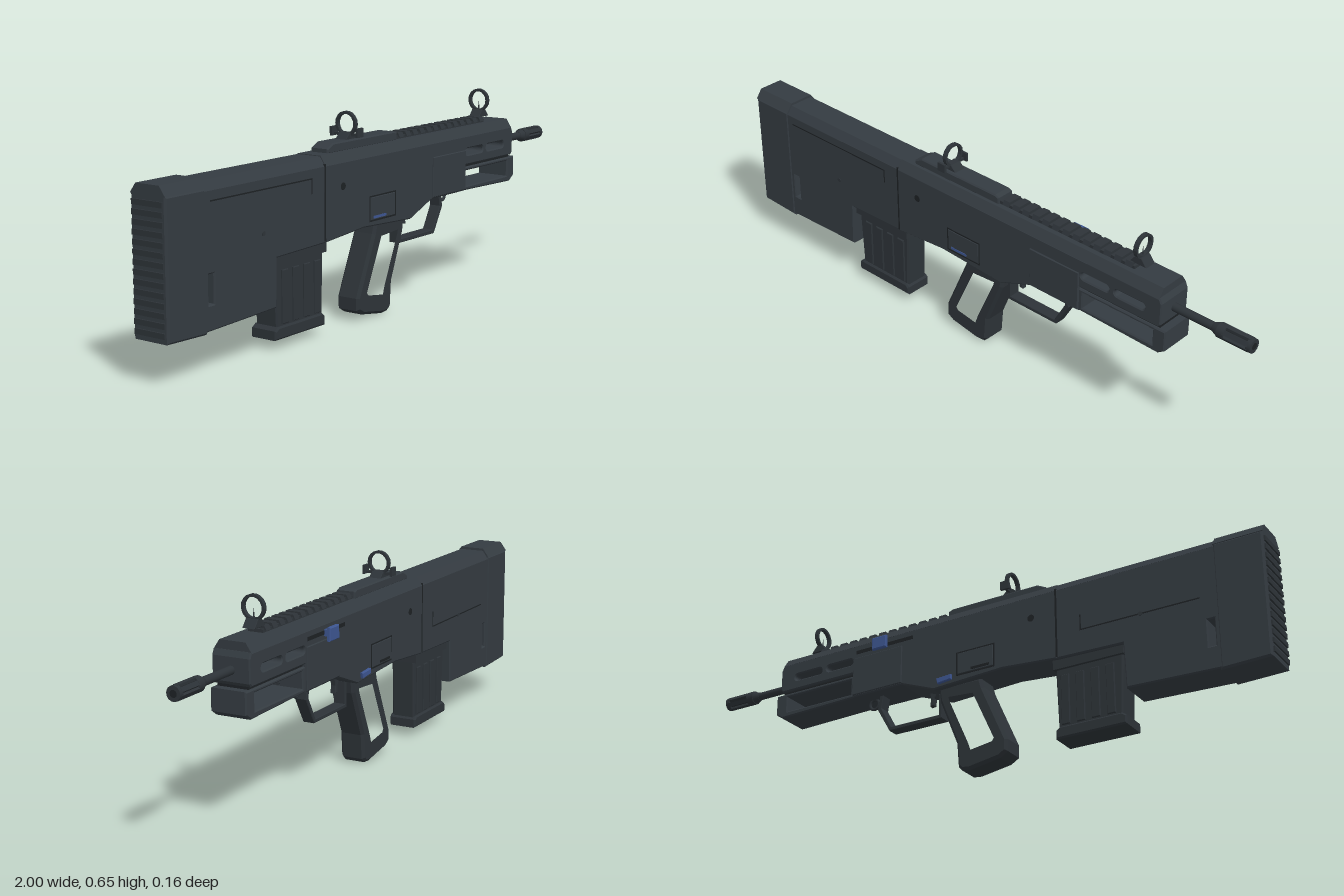
import * as THREE from 'three';

const mat = (name, color) => { const m = new THREE.MeshStandardMaterial({ color }); m.name = name; return m; };

export function createModel() {
  const body = mat('gunmetal', 0x343b41);
  const dark = mat('dark polymer', 0x2d3338);
  const black = mat('groove black', 0x1d2124);
  const blue = mat('blue control', 0x3d5590);

  const root = new THREE.Group();
  root.name = 'rifle';
  root.position.z = 0.0135;

  const add = (name, geo, material, x = 0, y = 0, z = 0) => {
    const m = new THREE.Mesh(geo, material);
    m.name = name;
    m.position.set(x, y, z);
    root.add(m);
    return m;
  };
  // Box given by its x and y limits, centre z and depth
  const box = (name, x0, x1, y0, y1, depth, material, z = 0) =>
    add(name, new THREE.BoxGeometry(x1 - x0, y1 - y0, depth), material, (x0 + x1) / 2, (y0 + y1) / 2, z);
  // Side outline extruded across the width, centred on z, with a chamfered edge
  const vec = pts => pts.map(p => new THREE.Vector2(p[0], p[1]));
  const slab = (name, pts, depth, material, b = 0.004, holes = [], z = 0) => {
    const s = new THREE.Shape(vec(pts));
    holes.forEach(h => s.holes.push(h instanceof THREE.Path ? h : new THREE.Path(vec(h))));
    const g = new THREE.ExtrudeGeometry(s, {
      depth: depth - 2 * b, bevelEnabled: b > 0, bevelSize: b, bevelThickness: b,
      bevelOffset: -b, bevelSegments: 1, curveSegments: 6,
    });
    g.translate(0, 0, -(depth - 2 * b) / 2);
    return add(name, g, material, 0, 0, z);
  };
  const rect = (x0, x1, y0, y1) => [[x0, y0], [x1, y0], [x1, y1], [x0, y1]];
  // Cross-section [z, y] extruded along x
  const prism = (name, pts, x0, x1, material) => {
    const g = new THREE.ExtrudeGeometry(new THREE.Shape(vec(pts.map(([z, y]) => [-z, y]))), { depth: x1 - x0, bevelEnabled: false });
    g.rotateY(Math.PI / 2);
    return add(name, g, material, x0, 0, 0);
  };
  const roof = (name, x0, x1, w, y0, y1, top, material) =>
    prism(name, [[w, y0], [top, y1], [-top, y1], [-w, y0]], x0, x1, material);
  const slot = (x0, x1, y, r) => {
    const p = new THREE.Path();
    p.absarc(x1 - r, y, r, -Math.PI / 2, Math.PI / 2);
    p.absarc(x0 + r, y, r, Math.PI / 2, Math.PI * 1.5);
    return p;
  };
  // Cylinder along x
  const rod = (name, x0, x1, r0, r1, y, material, sides = 16) => {
    const g = new THREE.CylinderGeometry(r1, r0, x1 - x0, sides);
    g.rotateZ(-Math.PI / 2);
    return add(name, g, material, (x0 + x1) / 2, y, 0);
  };

  // Butt pad with ribbed rear face
  slab('buttPad', [[-0.995, 0.125], [-0.84, 0.12], [-0.84, 0.522], [-0.995, 0.522]], 0.127, body, 0.006);
  roof('buttPadTop', -0.995, -0.84, 0.0635, 0.52, 0.549, 0.042, body);
  for (let i = 0; i < 14; i++) box('buttRib', -1, -0.99, 0.14 + i * 0.027, 0.156 + i * 0.027, 0.11, dark);

  // Rear stock with sling slot
  slab('stock', [[-0.86, 0.125], [-0.545, 0.135], [-0.54, 0.28], [-0.318, 0.285], [-0.318, 0.517], [-0.86, 0.517]],
    0.121, body, 0.004, [rect(-0.83, -0.808, 0.2, 0.285)]);
  roof('stockTop', -0.86, -0.32, 0.0605, 0.514, 0.541, 0.042, body);

  // Receiver and handguard
  slab('receiver', [[-0.322, 0.285], [-0.13, 0.3], [0.12, 0.288], [0.24, 0.335], [0.43, 0.335], [0.43, 0.42],
    [0.72, 0.42], [0.728, 0.43], [0.728, 0.5], [0.72, 0.517], [-0.322, 0.517]], 0.123, body, 0.004,
  [slot(0.435, 0.54, 0.463, 0.011), slot(0.56, 0.67, 0.463, 0.011)]);
  roof('receiverTop', -0.318, 0.718, 0.0615, 0.514, 0.543, 0.042, body);
  box('receiverSeam', -0.323, -0.317, 0.29, 0.52, 0.1236, black);
  box('handguardGroove', 0.43, 0.72, 0.405, 0.425, 0.1, black);
  slab('lowerHandguard', [[0.42, 0.335], [0.72, 0.328], [0.745, 0.345], [0.745, 0.412], [0.42, 0.412]], 0.116, body, 0.004,
    [rect(0.442, 0.7, 0.348, 0.4)]);
  rod('guardPin', 0.482, 0.49, 0.006, 0.006, 0.37, dark, 8);

  // Details on both sides
  for (const s of [1, -1]) {
    slab('takedownCover', rect(0.24, 0.43, 0.34, 0.47), 0.008, body, 0.002, [], s * 0.0615);
    slab('controlRecess', rect(-0.103, 0.035, 0.313, 0.393), 0.004, black, 0, [], s * 0.0605);
    slab('controlPanel', rect(-0.099, 0.031, 0.317, 0.389), 0.006, body, 0.002, [], s * 0.061);
    box('controlStrip', -0.085, -0.02, 0.322, 0.33, 0.004, s > 0 ? blue : black, s * 0.0635);
    slab('sidePort', slot(-0.245, -0.222, 0.443, 0.0114).getPoints(5).map(p => [p.x, -0.443 + p.y + 0.443]), 0.004, black, 0, [], s * 0.0605);
    const pin = add('bodyPin', new THREE.CylinderGeometry(0.007, 0.007, 0.004, 10), dark, -0.6, 0.36, s * 0.0605);
    pin.rotation.x = Math.PI / 2;
  }
  // Panel lines on the stock
  box('panelLine', -0.82, -0.38, 0.483, 0.487, 0.002, black, 0.0602);
  box('panelLine', -0.384, -0.38, 0.44, 0.487, 0.002, black, 0.0602);
  box('portLine', -0.79, -0.4, 0.358, 0.362, 0.002, black, -0.0602);
  box('portLine', -0.404, -0.4, 0.362, 0.41, 0.002, black, -0.0602);

  // Charging knob and selector on the rear side
  box('chargingSlot', 0.2, 0.42, 0.485, 0.497, 0.004, black, -0.0605);
  box('chargingStem', 0.3, 0.325, 0.48, 0.5, 0.03, blue, -0.069);
  slab('chargingKnob', rect(0.285, 0.34, 0.469, 0.511), 0.014, blue, 0.003, [], -0.0845);
  slab('selector', [[0.05, 0.305], [0.1, 0.3], [0.105, 0.318], [0.05, 0.322]], 0.012, blue, 0.002, [], -0.065);

  // Barrel and muzzle device
  rod('barrel', 0.7, 0.9, 0.013, 0.013, 0.463, dark);
  rod('muzzleCollar', 0.865, 0.89, 0.014, 0.023, 0.463, dark);
  rod('muzzleCore', 0.885, 0.999, 0.016, 0.016, 0.463, black);
  rod('muzzleRear', 0.885, 0.91, 0.023, 0.023, 0.463, dark);
  rod('muzzleTip', 0.985, 1, 0.022, 0.022, 0.463, dark);
  rod('bore', 0.9985, 1.0005, 0.011, 0.011, 0.463, black);
  for (let i = 0; i < 6; i++) {
    const a = (i + 0.5) * Math.PI / 3;
    const bar = box('muzzleBar', 0.905, 0.99, 0.456, 0.47, 0.013, dark);
    bar.position.set(0.9475, 0.463 + Math.sin(a) * 0.0155, Math.cos(a) * 0.0155);
    bar.rotation.x = -a;
  }

  // Top rail
  box('railBase', -0.25, 0.6, 0.538, 0.553, 0.05, dark);
  slab('railCover', [[-0.27, 0.54], [0.085, 0.54], [0.085, 0.564], [0.07, 0.57], [-0.24, 0.57], [-0.27, 0.555]], 0.064, body);
  for (let i = 0; i < 13; i++) roof('railTooth', 0.1 + i * 0.039, 0.124 + i * 0.039, 0.031, 0.548, 0.562, 0.024, dark);

  // Ring sights
  const sight = (x, yBase, half) => {
    slab('sightBase', [[x - half, yBase], [x + half, yBase], [x + 0.011, yBase + 0.024], [x - 0.011, yBase + 0.024]], 0.04, dark, 0.002);
    const ring = new THREE.Shape();
    ring.absarc(0, 0, 0.038, 0, Math.PI * 2);
    const hole = new THREE.Path();
    hole.absarc(0, 0, 0.03, 0, Math.PI * 2);
    ring.holes.push(hole);
    const g = new THREE.ExtrudeGeometry(ring, { depth: 0.013, bevelEnabled: false, curveSegments: 9 });
    g.rotateY(Math.PI / 2);
    add('sightRing', g, dark, x - 0.0065, 0.615, 0);
  };
  sight(-0.135, 0.565, 0.035);
  sight(0.607, 0.56, 0.03);
  add('frontPost', new THREE.ConeGeometry(0.004, 0.036, 8), dark, 0.607, 0.596, 0);
  for (const s of [1, -1]) box('sightWing', -0.15, -0.12, 0.576, 0.604, 0.008, dark, s * 0.0485);
  box('sightAxle', -0.139, -0.131, 0.578, 0.586, 0.09, dark);

  // Pistol grip
  slab('grip', [[-0.04, 0.3], [0.115, 0.3], [0.108, 0.25], [0.048, 0.1], [0.042, 0.02], [0.028, 0.006], [0, 0.003],
    [-0.105, 0.02], [-0.132, 0.036], [-0.133, 0.075], [-0.05, 0.265]], 0.083, dark, 0.009,
  [[[-0.018, 0.262], [0.086, 0.268], [0.082, 0.245], [0.014, 0.09], [0.002, 0.055], [-0.085, 0.068], [-0.098, 0.085]]]);

  // Trigger and its guard
  slab('triggerGuard', [[0.114, 0.29], [0.114, 0.206], [0.312, 0.206], [0.36, 0.29], [0.352, 0.338], [0.338, 0.338],
    [0.345, 0.292], [0.305, 0.219], [0.126, 0.219], [0.126, 0.29]], 0.04, dark, 0.002);
  slab('trigger', [[0.135, 0.31], [0.17, 0.32], [0.163, 0.285], [0.166, 0.26], [0.152, 0.262], [0.15, 0.285]], 0.018, dark, 0.002);
  add('slingLoop', new THREE.TorusGeometry(0.017, 0.005, 8, 16), dark, 0.385, 0.32, 0);

  // Magazine with vertical ribs
  box('magazineCollar', -0.535, -0.3, 0.255, 0.29, 0.1, dark);
  slab('magazine', [[-0.53, 0.27], [-0.303, 0.27], [-0.31, 0.06], [-0.52, 0.06]], 0.08, dark, 0.005);
  for (const s of [1, -1]) for (let i = 0; i < 4; i++)
    slab('magazineRib', rect(-0.5 + i * 0.05, -0.472 + i * 0.05, 0.075, 0.235), 0.008, dark, 0.002, [], s * 0.041);
  slab('magazineBase', [[-0.535, 0.032], [-0.303, 0.032], [-0.303, 0.06], [-0.315, 0.07], [-0.52, 0.07], [-0.535, 0.06]], 0.094, dark, 0.005);

  return root;
}
